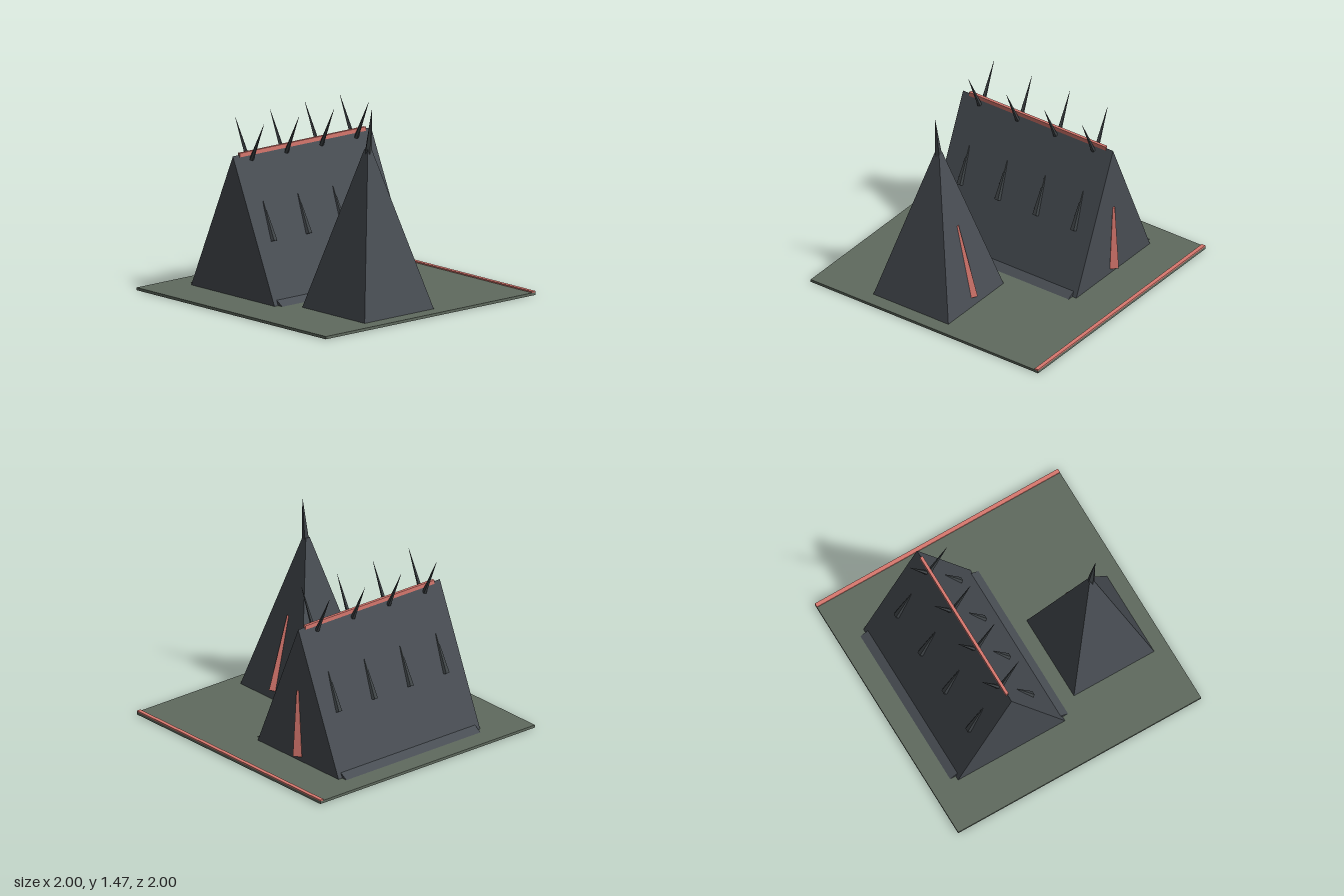
import * as THREE from 'three';

const flat = (name, color) => {
  const m = new THREE.MeshStandardMaterial({ color, flatShading: true });
  m.name = name;
  return m;
};

export function createModel() {
  const ground = flat('mossGreen', 0x5f6a5e);
  const slate = flat('slate', 0x484d53);
  const dark = flat('darkSlate', 0x3f4447);
  const red = flat('paleRed', 0xd9786f);

  const model = new THREE.Group();
  model.name = 'spikedHalls';

  const add = (parent, name, geometry, material) => {
    const mesh = new THREE.Mesh(geometry, material);
    mesh.name = name;
    parent.add(mesh);
    return mesh;
  };
  const box = (parent, name, size, pos, material) =>
    add(parent, name, new THREE.BoxGeometry(...size), material).position.set(...pos);

  // Tapered faceted spike running from point a to point b
  const spike = (parent, name, a, b, r0, r1, sides, material) => {
    const start = new THREE.Vector3(...a);
    const dir = new THREE.Vector3(...b).sub(start);
    const mesh = add(parent, name, new THREE.CylinderGeometry(r1, r0, dir.length(), sides), material);
    mesh.position.copy(start).addScaledVector(dir, 0.5);
    mesh.quaternion.setFromUnitVectors(new THREE.Vector3(0, 1, 0), dir.normalize());
  };

  // Cross-section in x and y, stretched along z
  const prism = (parent, name, points, depth, material) => {
    const shape = new THREE.Shape(points.map(p => new THREE.Vector2(...p)));
    const geometry = new THREE.ExtrudeGeometry(shape, { depth, bevelEnabled: false });
    add(parent, name, geometry.translate(0, 0, -depth / 2), material);
  };

  // Ground slab with a thin strip along the back edge
  box(model, 'groundSlab', [2, 0.02, 2], [0, 0.01, 0], ground);
  box(model, 'backStrip', [2, 0.01, 0.03], [0, 0.025, -0.985], red);

  // Long hall with steep roof
  const hall = new THREE.Group();
  hall.name = 'longHall';
  hall.position.x = -0.36;
  model.add(hall);
  prism(hall, 'hallRoof', [[-0.44, 0.02], [0.44, 0.02], [0, 1.035]], 1.32, slate);
  box(hall, 'ridgeBeam', [0.022, 0.03, 1.2], [0, 1.035, 0], red);
  for (const s of [-1, 1]) {
    prism(hall, 'eaveSkirt', [[s * 0.40, 0.02], [s * 0.485, 0.02], [s * 0.41, 0.065]], 1.25, slate);
    for (const z of [-0.5, -0.167, 0.167, 0.5]) {
      spike(hall, 'ridgeSpike', [s * 0.02, 0.99, z], [s * 0.152, 1.27, z], 0.017, 0.001, 5, dark);
      spike(hall, 'roofFin', [s * 0.252, 0.437, z], [s * 0.143, 0.71, z], 0.03, 0.003, 6, dark);
    }
  }
  spike(hall, 'hallDoor', [0, 0.06, -0.665], [0, 0.56, -0.665], 0.045, 0.011, 4, red);

  // Square tower
  const tower = new THREE.Group();
  tower.name = 'tower';
  tower.position.set(0.56, 0, 0.2);
  model.add(tower);
  const body = new THREE.CylinderGeometry(0.018 * Math.SQRT2, 0.33 * Math.SQRT2, 1.16, 4);
  add(tower, 'towerBody', body.rotateY(Math.PI / 4).translate(0, 0.6, 0), slate);
  spike(tower, 'towerSpire', [0.003, 1.15, 0], [0.04, 1.47, 0], 0.028, 0.001, 5, dark);
  spike(tower, 'towerDoor', [0, 0.08, -0.314], [0, 0.62, -0.17], 0.033, 0.009, 4, red);

  return model;
}
